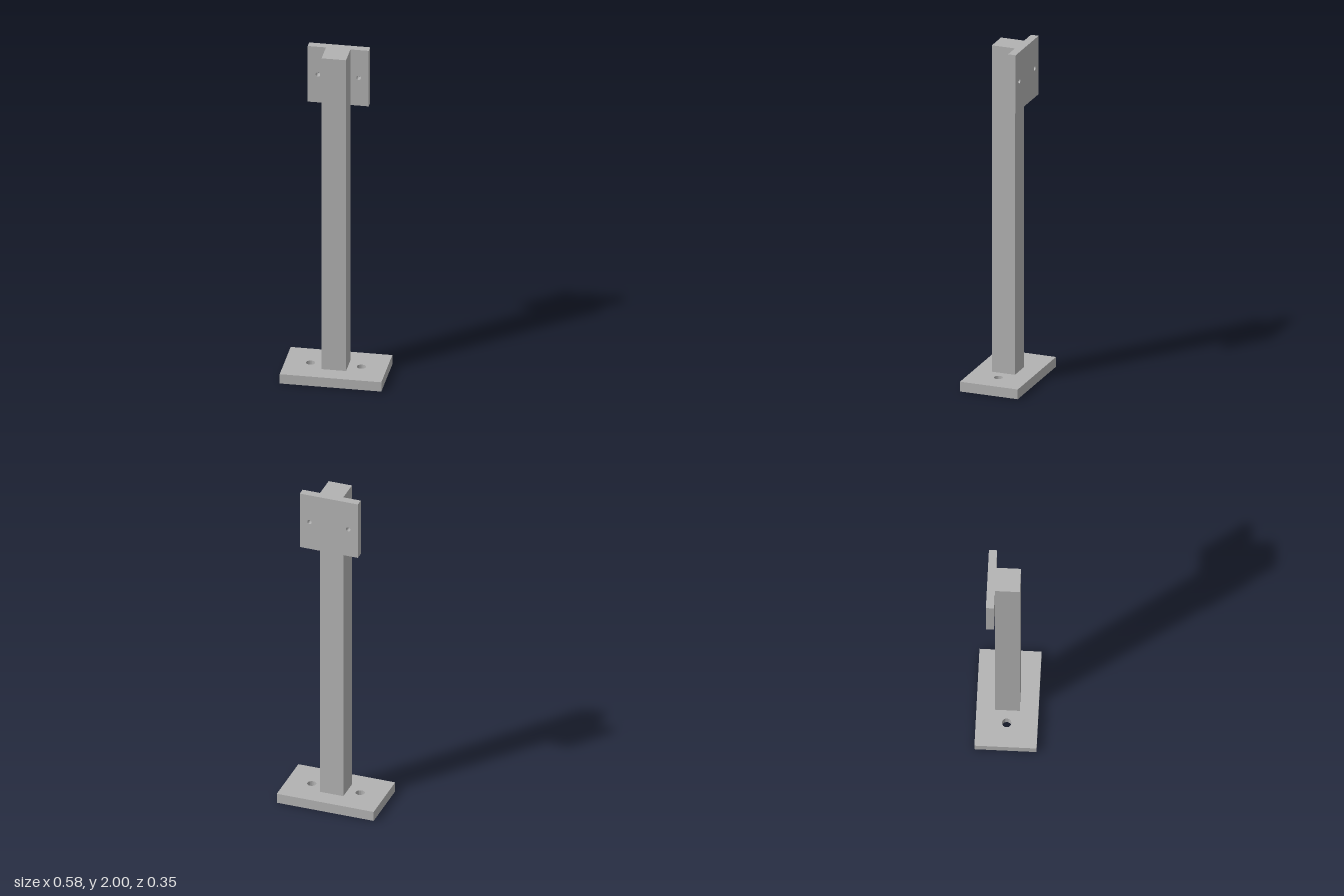
import * as THREE from 'three';
import { toCreasedNormals } from 'three/addons/utils/BufferGeometryUtils.js';

// Rectangular plate with a mirrored pair of round through holes, extruded along +z
function drilledPlate(width, height, depth, holeX, holeRadius) {
  const w = width / 2, h = height / 2;
  const shape = new THREE.Shape([
    new THREE.Vector2(-w, -h), new THREE.Vector2(w, -h),
    new THREE.Vector2(w, h), new THREE.Vector2(-w, h),
  ]);
  for (const side of [-1, 1]) {
    shape.holes.push(new THREE.Path().absarc(side * holeX, 0, holeRadius, 0, Math.PI * 2, true));
  }
  const geometry = new THREE.ExtrudeGeometry(shape, { depth, bevelEnabled: false, curveSegments: 32 });
  return toCreasedNormals(geometry, Math.PI / 6);
}

export function createModel() {
  const steel = new THREE.MeshStandardMaterial({ color: 0xb2b2b2 });
  steel.name = 'grey steel';

  const group = new THREE.Group();
  group.name = 'mountingPost';
  const add = (name, geometry, x, y, z) => {
    const mesh = new THREE.Mesh(geometry, steel);
    mesh.name = name;
    mesh.position.set(x, y, z);
    group.add(mesh);
  };

  const baseHeight = 0.058, postWidth = 0.139, top = 2;

  // Floor plate with two anchor holes
  const base = drilledPlate(0.578, 0.348, baseHeight, 0.1445, 0.026);
  base.rotateX(-Math.PI / 2);
  add('basePlate', base, 0, 0, 0);

  // Square upright
  const postHeight = top - baseHeight;
  add('post', new THREE.BoxGeometry(postWidth, postHeight, postWidth), 0, baseHeight + postHeight / 2, 0);

  // Fixing plate on the back of the post, flush with its top
  const plateSize = 0.347, plateDepth = 0.046;
  add('fixingPlate', drilledPlate(plateSize, plateSize, plateDepth, 0.1156, 0.013),
    0, top - plateSize / 2, -postWidth / 2 - plateDepth);

  return group;
}
